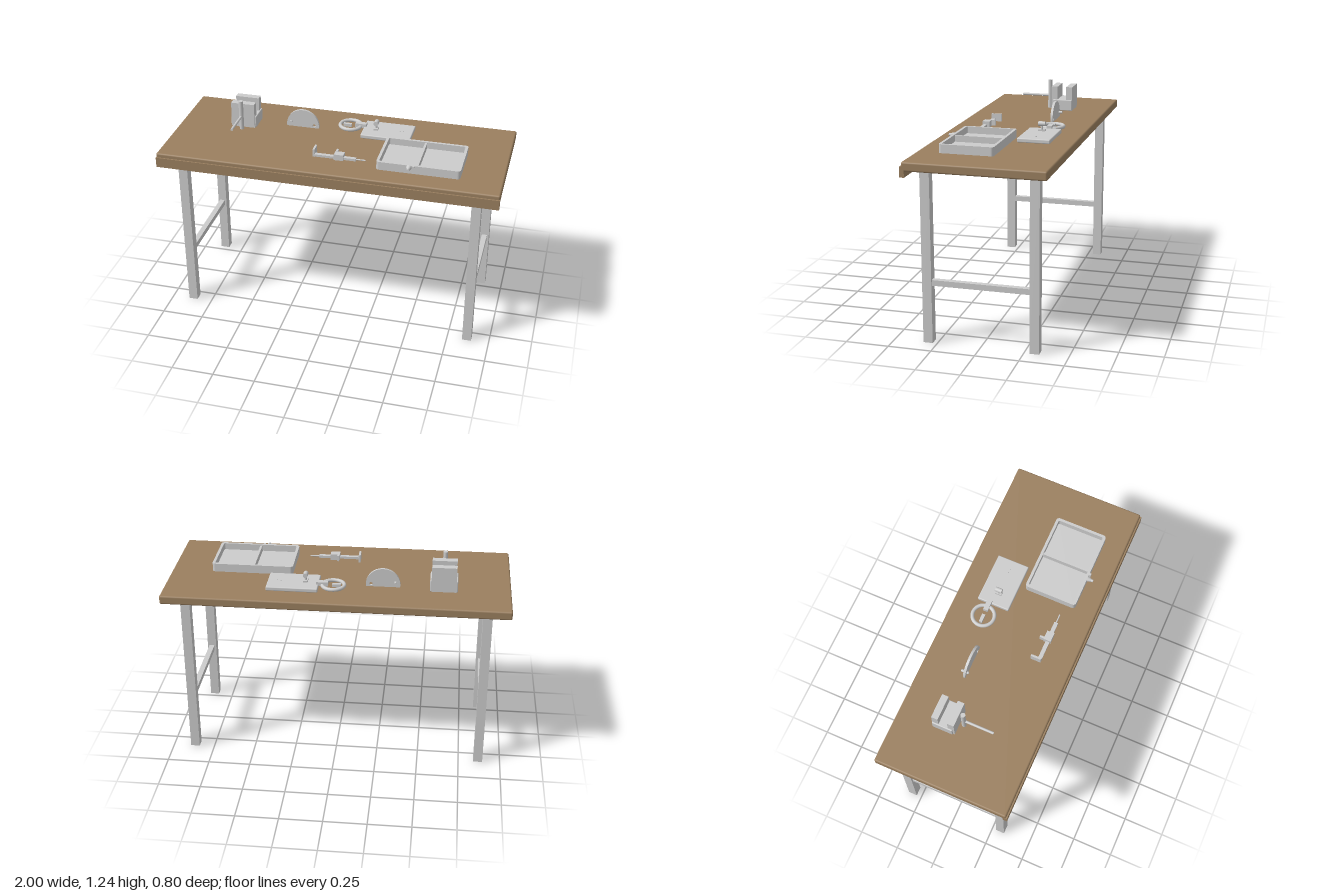
import * as THREE from 'three';
import { RoundedBoxGeometry } from 'three/addons/geometries/RoundedBoxGeometry.js';

const grey = new THREE.MeshStandardMaterial({ color: 0xcccccc });
const wood = new THREE.MeshStandardMaterial({ color: 0x9a7f5f });
const TOP = 1.06; // height of the work surface

function add(parent, name, geometry, position = [0, 0, 0], material = grey) {
  const mesh = new THREE.Mesh(geometry, material);
  mesh.name = name;
  mesh.position.set(...position);
  parent.add(mesh);
  return mesh;
}

// Box given by its limits along each axis, optionally with rounded edges
function box(parent, name, [x0, x1], [y0, y1], [z0, z1], material = grey, radius = 0) {
  const size = [x1 - x0, y1 - y0, z1 - z0];
  const geometry = radius
    ? new RoundedBoxGeometry(...size, 3, radius)
    : new THREE.BoxGeometry(...size);
  return add(parent, name, geometry, [(x0 + x1) / 2, (y0 + y1) / 2, (z0 + z1) / 2], material);
}

// Cylinder along the x, y or z axis
function rod(parent, name, axis, radius, length, position, endRadius = radius) {
  const geometry = new THREE.CylinderGeometry(endRadius, radius, length, 24);
  if (axis === 'x') geometry.rotateZ(-Math.PI / 2);
  if (axis === 'z') geometry.rotateX(Math.PI / 2);
  return add(parent, name, geometry, position);
}

function group(parent, name) {
  const g = new THREE.Group();
  g.name = name;
  parent.add(g);
  return g;
}

function roundedRect(path, w, d, r) {
  const corners = [[w / 2 - r, d / 2 - r], [r - w / 2, d / 2 - r], [r - w / 2, r - d / 2], [w / 2 - r, r - d / 2]];
  corners.forEach(([x, y], i) => path.absarc(x, y, r, i * Math.PI / 2, (i + 1) * Math.PI / 2, false));
  path.closePath();
  return path;
}

function buildTable(root) {
  const table = group(root, 'table');
  box(table, 'tabletop', [-1, 1], [1.008, TOP], [-0.4, 0.395], wood, 0.01);
  box(table, 'frontLip', [-1, 1], [0.975, 1.035], [0.377, 0.403], wood);
  for (const side of [-1, 1]) {
    const x = side * 0.868;
    for (const z of [0.303, -0.309]) box(table, 'leg', [x - 0.027, x + 0.027], [0, 1.008], [z - 0.027, z + 0.027]);
    box(table, 'sideRail', [x - 0.016, x + 0.016], [0.337, 0.37], [-0.283, 0.276]);
  }
}

function buildVice(root) {
  const vice = group(root, 'vice');
  box(vice, 'viceBase', [-0.693, -0.533], [TOP, 1.13], [-0.187, -0.063], grey, 0.005);
  box(vice, 'frontJaw', [-0.685, -0.541], [1.06, 1.212], [-0.092, -0.052]);
  box(vice, 'rearJaw', [-0.685, -0.541], [1.06, 1.212], [-0.187, -0.148]);
  rod(vice, 'vicePost', 'y', 0.0135, 0.183, [-0.614, TOP + 0.0915, -0.027]);
  rod(vice, 'viceHandle', 'z', 0.0075, 0.17, [-0.614, 1.142, 0.069]);
}

function buildDisc(root) {
  // Upright disc let into the tabletop
  const disc = group(root, 'uprightDisc');
  const shape = new THREE.Shape().absarc(0, 0, 0.1, 0, Math.PI * 2, false);
  shape.holes.push(new THREE.Path().absarc(0.07, 0.004, 0.01, 0, Math.PI * 2, true));
  const geometry = new THREE.ExtrudeGeometry(shape, { depth: 0.014, bevelEnabled: false, curveSegments: 48 });
  add(disc, 'disc', geometry, [-0.262, 1.072, -0.15]);
  rod(disc, 'discPeg', 'z', 0.008, 0.046, [-0.335, 1.09, -0.148]);
}

function buildPlateAndRing(root) {
  const tool = group(root, 'plateWithRing');
  box(tool, 'plate', [0.107, 0.406], [TOP, 1.085], [-0.27, -0.077], grey, 0.006);
  // Knob on its short post
  rod(tool, 'knobPost', 'y', 0.007, 0.04, [0.185, 1.102, -0.17]);
  rod(tool, 'knob', 'z', 0.014, 0.04, [0.185, 1.127, -0.17]);
  box(tool, 'knobFoot', [0.172, 0.198], [1.084, 1.095], [-0.19, -0.15]);
  for (const x of [0.33, 0.35]) rod(tool, 'plateStud', 'y', 0.004, 0.004, [x, 1.086, -0.174]);
  // Ring with a rounded section
  const ring = new THREE.TorusGeometry(0.064, 0.011, 14, 56).rotateX(Math.PI / 2);
  add(tool, 'ring', ring, [0.022, 1.08, -0.196]);
  box(tool, 'ringArm', [0.052, 0.12], [1.076, 1.1], [-0.211, -0.182]);
  box(tool, 'ringPin', [-0.022, 0.028], [1.07, 1.088], [-0.205, -0.186]);
}

function buildCaliper(root) {
  const caliper = group(root, 'caliper');
  box(caliper, 'caliperBeam', [-0.103, 0.15], [1.066, 1.08], [0.194, 0.217]);
  box(caliper, 'fixedJaw', [-0.106, -0.094], [1.064, 1.11], [0.155, 0.217]);
  box(caliper, 'slider', [0.022, 0.078], [1.062, 1.098], [0.18, 0.224]);
  box(caliper, 'slidingJaw', [0.024, 0.036], [1.066, 1.1], [0.155, 0.182]);
  rod(caliper, 'depthRod', 'x', 0.004, 0.06, [0.175, 1.073, 0.205]);
}

function buildTray(root) {
  const tray = group(root, 'tray');
  const [w, d, cx, cz] = [0.482, 0.313, 0.519, 0.111];
  const slab = (name, shape, y, height) => {
    const geometry = new THREE.ExtrudeGeometry(shape, { depth: height, bevelEnabled: false, curveSegments: 8 });
    geometry.rotateX(-Math.PI / 2);
    add(tray, name, geometry, [cx, y, cz]);
  };
  const wall = roundedRect(new THREE.Shape(), w, d, 0.018);
  wall.holes.push(roundedRect(new THREE.Path(), w - 0.032, d - 0.032, 0.008));
  slab('trayWall', wall, TOP, 0.05);
  slab('trayFloor', roundedRect(new THREE.Shape(), w - 0.03, d - 0.03, 0.009), TOP, 0.01);
  box(tray, 'trayDivider', [0.506, 0.519], [1.068, 1.106], [-0.032, 0.254]);
  // Latch on the front wall
  rod(tray, 'latchCone', 'z', 0.016, 0.024, [0.468, 1.097, 0.279], 0.009);
  rod(tray, 'latchButton', 'z', 0.008, 0.012, [0.468, 1.097, 0.296]);
  box(tray, 'latchPlate', [0.488, 0.502], [1.085, 1.11], [0.262, 0.278]);
}

export function createModel() {
  const root = new THREE.Group();
  root.name = 'workbench';
  [buildTable, buildVice, buildDisc, buildPlateAndRing, buildCaliper, buildTray].forEach((build) => build(root));
  return root;
}
